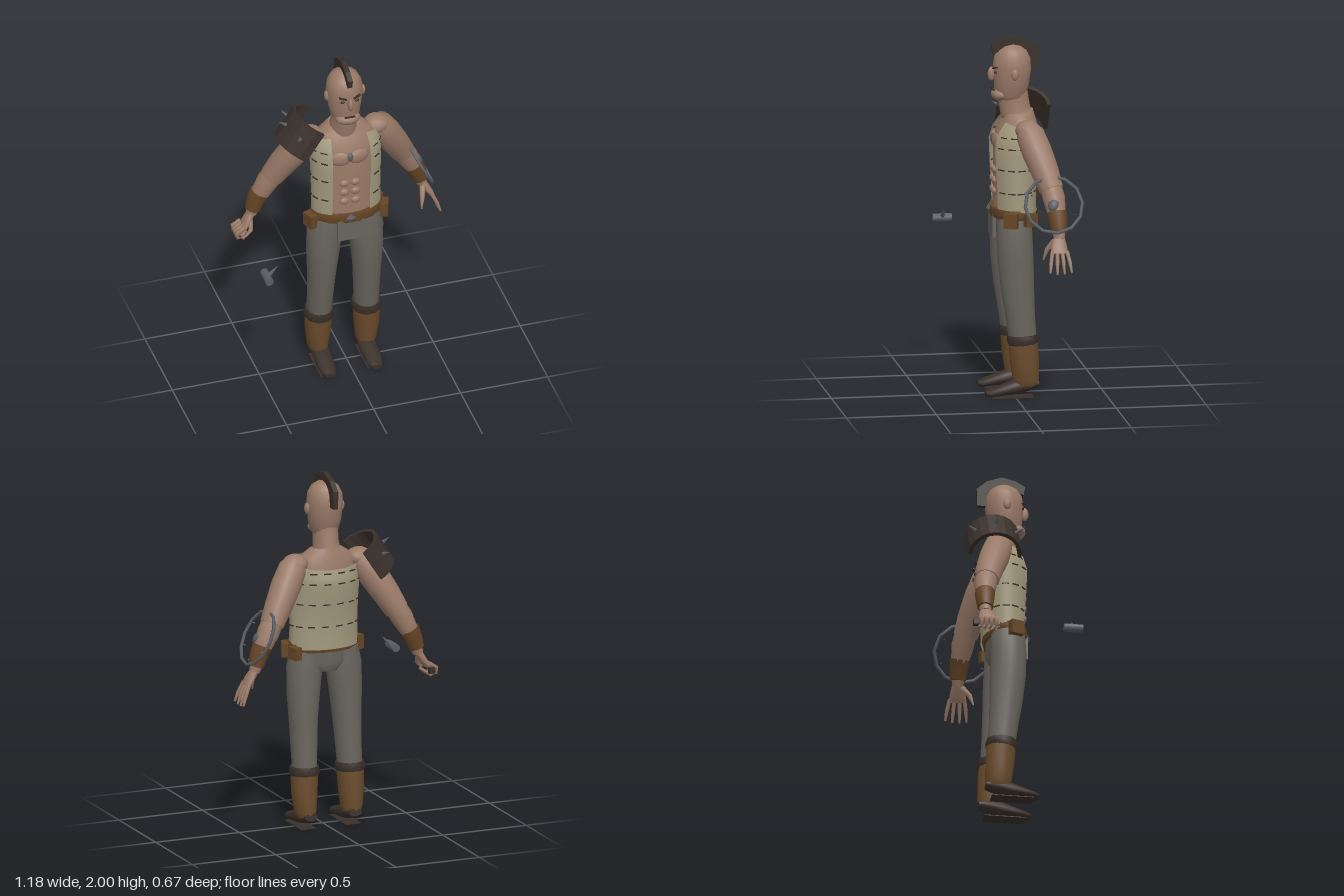
import * as THREE from 'three';

const SKIN = 0x9a7a68, VEST = 0xa39a7e, PANTS = 0x69655e, BOOT = 0x6b4c2c, LEATHER = 0x664526,
  DARK = 0x3a302a, METAL = 0x5a5e64;
const mat = (color) => new THREE.MeshStandardMaterial({ color, side: THREE.DoubleSide });

export function createModel() {
  const model = new THREE.Group();
  const add = (name, geo, color, pos = [0, 0, 0], rot = [0, 0, 0]) => {
    const m = new THREE.Mesh(geo, mat(color));
    m.name = name;
    m.position.set(...pos);
    m.rotation.set(...rot);
    model.add(m);
    return m;
  };
  const box = (name, size, color, pos, rot) => add(name, new THREE.BoxGeometry(...size), color, pos, rot);
  const blob = (name, size, color, pos, rot) =>
    add(name, new THREE.SphereGeometry(1, 12, 8).scale(...size), color, pos, rot);

  // Skin of elliptical rings along a path; rows are [x, y, z, radius, second radius].
  // An arc [start, end] leaves the shell open instead of closing and capping it.
  const limb = (name, rows, color, n = 16, arc) => {
    const P = rows.map((r) => new THREE.Vector3(r[0], r[1], r[2]));
    const pos = [], idx = [], w = arc ? n + 1 : n, [a0, a1] = arc || [0, Math.PI * 2];
    const ring = (i, k) => {
      const t = P[Math.min(i + 1, P.length - 1)].clone().sub(P[Math.max(i - 1, 0)]).normalize();
      const u = new THREE.Vector3(1, 0, 0).addScaledVector(t, -t.x).normalize();
      const v = t.clone().cross(u), [, , , ra, rb = ra] = rows[i];
      for (let j = 0; j < w; j++) {
        const a = a0 + (a1 - a0) * j / n;
        const p = P[i].clone().addScaledVector(u, Math.cos(a) * ra * k).addScaledVector(v, Math.sin(a) * rb * k);
        pos.push(p.x, p.y, p.z);
      }
    };
    const join = (r) => {
      for (let j = 0; j < n; j++) {
        const a = r * w + j, b = r * w + (j + 1) % w;
        idx.push(a, b, a + w, b, b + w, a + w);
      }
    };
    let r = 0;
    if (!arc) { ring(0, 0.001); ring(0, 1); join(0); r = 2; }
    rows.forEach((_, i) => { ring(i, 1); if (i) join(r + i - 1); });
    if (!arc) { const e = rows.length - 1; ring(e, 1); ring(e, 0.001); join(r + e + 1); }
    const g = new THREE.BufferGeometry();
    g.setAttribute('position', new THREE.Float32BufferAttribute(pos, 3));
    g.setIndex(idx);
    g.computeVertexNormals();
    return add(name, g, color);
  };
  // Cone with its base at a point and its tip along a direction
  const spike = (name, base, dir, r, len, color) => {
    const m = add(name, new THREE.ConeGeometry(r, len, 6).translate(0, len / 2, 0), color, base);
    m.quaternion.setFromUnitVectors(new THREE.Vector3(0, 1, 0), new THREE.Vector3(...dir).normalize());
  };

  // Head and neck
  limb('neck', [[-0.01, 1.53, -0.04, 0.085, 0.085], [-0.01, 1.6, -0.02, 0.07, 0.085], [-0.01, 1.7, -0.01, 0.068, 0.08]], SKIN);
  limb('head', [[-0.01, 1.64, 0.02, 0.055, 0.07], [-0.01, 1.67, 0.01, 0.078, 0.085], [-0.01, 1.74, -0.003, 0.093, 0.098],
    [-0.01, 1.82, -0.005, 0.102, 0.107], [-0.01, 1.88, -0.007, 0.096, 0.1], [-0.01, 1.92, -0.008, 0.075, 0.078],
    [-0.01, 1.943, -0.008, 0.043, 0.045], [-0.01, 1.952, -0.008, 0.01, 0.01]], SKIN, 20);
  blob('jaw', [0.072, 0.036, 0.05], SKIN, [-0.01, 1.675, 0.062]);
  box('mouth', [0.06, 0.006, 0.01], DARK, [-0.01, 1.702, 0.1]);
  blob('nose', [0.015, 0.04, 0.022], SKIN, [-0.01, 1.79, 0.108]);
  const crest = new THREE.Shape([[0.11, 1.95], [0.06, 1.98], [-0.02, 2], [-0.105, 1.97], [-0.16, 1.92], [-0.158, 1.82],
    [-0.11, 1.82], [-0.1, 1.88], [-0.06, 1.925], [0, 1.94], [0.07, 1.915], [0.1, 1.9]].map((p) => new THREE.Vector2(...p)));
  add('mohawk', new THREE.ExtrudeGeometry(crest, { depth: 0.028, bevelEnabled: false })
    .translate(0, 0, -0.014).rotateY(-Math.PI / 2), DARK, [-0.01, 0, 0]);

  // Torso
  limb('torso', [[0, 0.98, 0, 0.175, 0.1], [0, 1.1, 0, 0.17, 0.1], [0, 1.25, -0.01, 0.175, 0.108], [0, 1.4, -0.025, 0.185, 0.125],
    [0, 1.48, -0.035, 0.18, 0.115], [0, 1.54, -0.045, 0.15, 0.09], [0, 1.58, -0.04, 0.09, 0.08]], SKIN, 24);
  const vestRows = [[0, 1.02, -0.01, 0.198, 0.122], [0, 1.15, -0.01, 0.196, 0.124], [0, 1.28, -0.013, 0.198, 0.138],
    [0, 1.4, -0.02, 0.202, 0.152], [0, 1.46, -0.03, 0.198, 0.14], [0, 1.51, -0.045, 0.188, 0.115]];
  const D = Math.PI / 180;
  limb('vest', vestRows, VEST, 28, [-57 * D, 237 * D]);
  for (const row of vestRows.slice(1, 5)) {
    for (let a = -42; a < 230; a += 24) {
      const c = Math.cos(a * D), s = -Math.sin(a * D);
      box('vestStitch', [0.04, 0.006, 0.008], DARK, [c * row[3], row[1], row[2] + s * row[4]],
        [0, Math.atan2(c * row[4], s * row[3]), 0]);
    }
  }
  for (const y of [1.14, 1.2, 1.26])
    for (const s of [-1, 1]) blob('abdominal', [0.028, 0.022, 0.016], SKIN, [-0.01 + s * 0.032, y, 0.098]);
  blob('chestGem', [0.022, 0.026, 0.014], METAL, [-0.01, 1.43, 0.1]);

  // Belt and trousers
  limb('pelvis', [[0, 0.87, -0.02, 0.07, 0.07], [0, 0.92, -0.01, 0.16, 0.098], [0, 1.02, 0, 0.19, 0.105]], PANTS);
  limb('belt', [[0, 1, 0, 0.2, 0.118], [0, 1.03, 0, 0.21, 0.125], [0, 1.055, 0, 0.203, 0.12]], LEATHER, 14);
  add('buckle', new THREE.OctahedronGeometry(0.03).scale(1, 1, 0.5), METAL, [-0.01, 1.035, 0.125]);
  box('loincloth', [0.145, 0.13, 0.02], PANTS, [-0.01, 0.95, 0.105]);
  box('pouch', [0.045, 0.08, 0.075], LEATHER, [-0.215, 1.005, 0.03], [0, 0.35, 0]);
  box('pouch', [0.045, 0.08, 0.075], LEATHER, [0.208, 1.005, 0.035], [0, -0.35, 0]);
  box('pouch', [0.04, 0.07, 0.07], LEATHER, [0.198, 1.005, -0.075], [0, 0.3, 0]);

  // Paired parts
  for (const s of [-1, 1]) {
    const X = (x) => s * x - 0.008;
    blob('ear', [0.014, 0.032, 0.022], SKIN, [X(0.104), 1.8, -0.005]);
    box('brow', [0.045, 0.008, 0.012], DARK, [X(0.04), 1.83, 0.095], [0, s * 0.35, s * 0.2]);
    blob('eye', [0.014, 0.007, 0.008], DARK, [X(0.04), 1.805, 0.092]);
    blob('pectoral', [0.062, 0.045, 0.022], SKIN, [X(0.052), 1.42, 0.086], [0, s * 0.2, 0]);
    limb('leg', [[X(0.105), 1, 0, 0.09, 0.095], [X(0.117), 0.9, 0, 0.1, 0.1], [X(0.126), 0.75, -0.005, 0.09, 0.1],
      [X(0.13), 0.6, -0.015, 0.078, 0.092], [X(0.133), 0.45, -0.03, 0.072, 0.082], [X(0.135), 0.3, -0.045, 0.066, 0.075]].reverse(), PANTS);
    limb('boot', [[X(0.135), 0.07, -0.06, 0.05, 0.068], [X(0.138), 0.1, -0.06, 0.06, 0.073], [X(0.14), 0.2, -0.052, 0.071, 0.08],
      [X(0.137), 0.33, -0.043, 0.077, 0.082]], BOOT);
    limb('bootCuff', [[X(0.136), 0.3, -0.045, 0.08, 0.085], [X(0.136), 0.325, -0.043, 0.088, 0.09],
      [X(0.136), 0.35, -0.042, 0.08, 0.085]], DARK, 10);
    limb('foot', [[X(0.132), 0.075, -0.13, 0.038, 0.022], [X(0.132), 0.068, -0.06, 0.05, 0.04], [X(0.132), 0.055, 0, 0.052, 0.042],
      [X(0.134), 0.038, 0.08, 0.05, 0.03], [X(0.134), 0.026, 0.14, 0.042, 0.023], [X(0.134), 0.026, 0.165, 0.025, 0.014]], DARK, 12);
    box('sole', [0.09, 0.004, 0.23], DARK, [X(0.134), 0.002, 0.015]);

    // Arm
    blob('shoulder', [0.075, 0.055, 0.07], SKIN, [s * 0.19, 1.51, -0.06]);
    limb('upperArm', [[s * 0.175, 1.53, -0.05, 0.05], [s * 0.21, 1.49, -0.07, 0.078], [s * 0.265, 1.4, -0.1, 0.083],
      [s * 0.325, 1.3, -0.135, 0.076], [s * 0.375, 1.21, -0.16, 0.067]], SKIN);
    limb('forearm', [[s * 0.36, 1.24, -0.155, 0.06], [s * 0.4, 1.17, -0.17, 0.062], [s * 0.455, 1.06, -0.183, 0.046],
      [s * 0.49, 0.96, -0.185, 0.03]], SKIN);
    limb('bracer', [[s * 0.44, 1.1, -0.18, 0.057], [s * 0.463, 1.05, -0.183, 0.052], [s * 0.482, 0.99, -0.185, 0.044]], LEATHER, 10);
    limb('palm', [[s * 0.487, 0.97, -0.185, 0.022, 0.03], [s * 0.515, 0.925, -0.18, 0.022, 0.045],
      [s * 0.54, 0.885, -0.178, 0.016, 0.05]], SKIN, 10);
    for (let i = 0; i < 4; i++) {
      const z = -0.14 - i * 0.027, f = (i - 1.5) * 0.008;
      limb('finger', s > 0
        ? [[0.535, 0.9, z, 0.011], [0.562, 0.84, z - f, 0.011], [0.58, 0.775 + Math.abs(f), z - f * 1.6, 0.006]]
        : [[-0.54, 0.9, z, 0.012], [-0.585, 0.875, z, 0.012], [-0.58, 0.843, z, 0.012], [-0.55, 0.835, z, 0.011],
          [-0.52, 0.86, z, 0.008]], SKIN, 7);
    }
  }
  limb('leftThumb', [[0.49, 0.95, -0.16, 0.018], [0.475, 0.9, -0.12, 0.014], [0.465, 0.84, -0.1, 0.004]], SKIN, 7);
  limb('rightThumb', [[-0.5, 0.94, -0.16, 0.014], [-0.51, 0.89, -0.125, 0.013], [-0.54, 0.86, -0.12, 0.008]], SKIN, 7);

  // Curved shoulder guard around the right upper arm
  const arch = new THREE.Shape();
  arch.absarc(0, 0, 0.148, -1.6, 1.6, false);
  arch.absarc(0, 0, 0.128, 1.6, -1.6, true);
  const guard = add('shoulderGuard', new THREE.ExtrudeGeometry(arch, { depth: 0.19, bevelEnabled: false, curveSegments: 5 }),
    DARK, [-0.145, 1.577, -0.095]);
  const out = new THREE.Vector3(-0.832, 0.555, 0), down = new THREE.Vector3(-0.555, -0.832, 0);
  guard.quaternion.setFromRotationMatrix(new THREE.Matrix4().makeBasis(out, down.clone().cross(out), down));
  for (const a of [-0.9, 0, 0.9]) {
    const dir = out.clone().multiplyScalar(Math.cos(a)).add(new THREE.Vector3(0, 0, Math.sin(a)));
    const base = dir.clone().multiplyScalar(0.14).add(guard.position).addScaledVector(down, 0.09);
    spike('guardSpike', base.toArray(), dir.toArray(), 0.014, 0.06, METAL);
  }

  // Round shield frame on the left forearm
  const shield = new THREE.Group();
  shield.name = 'shield';
  const ring = new THREE.Mesh(new THREE.TorusGeometry(0.152, 0.009, 6, 12), mat(METAL));
  ring.name = 'shieldRing';
  const boss = new THREE.Mesh(new THREE.SphereGeometry(1, 8, 6).scale(0.03, 0.038, 0.022), mat(METAL));
  boss.name = 'shieldBoss';
  shield.add(ring, boss);
  for (let i = 0; i < 6; i++) {
    const stud = new THREE.Mesh(new THREE.ConeGeometry(0.005, 0.014, 5).rotateX(Math.PI / 2), mat(METAL));
    stud.name = 'shieldStud';
    stud.position.set(Math.cos(i * Math.PI / 3) * 0.125, Math.sin(i * Math.PI / 3) * 0.125, 0);
    shield.add(stud);
  }
  shield.position.set(0.46, 1.145, -0.16);
  shield.quaternion.setFromUnitVectors(new THREE.Vector3(0, 0, 1), new THREE.Vector3(0.9, 0.45, 0).normalize());
  shield.scale.set(1.05, 1.05, 1);
  model.add(shield);

  // Weapon head in front of the right fist, and its pommel behind it
  add('weaponHead', new THREE.CylinderGeometry(0.023, 0.023, 0.105, 10).rotateX(Math.PI / 2), METAL, [-0.548, 0.87, 0.293]);
  spike('weaponSpike', [-0.535, 0.882, 0.293], [0.75, 0.75, 0], 0.014, 0.075, METAL);
  box('weaponPommel', [0.033, 0.032, 0.028], DARK, [-0.545, 0.868, -0.247]);
  return model;
}
